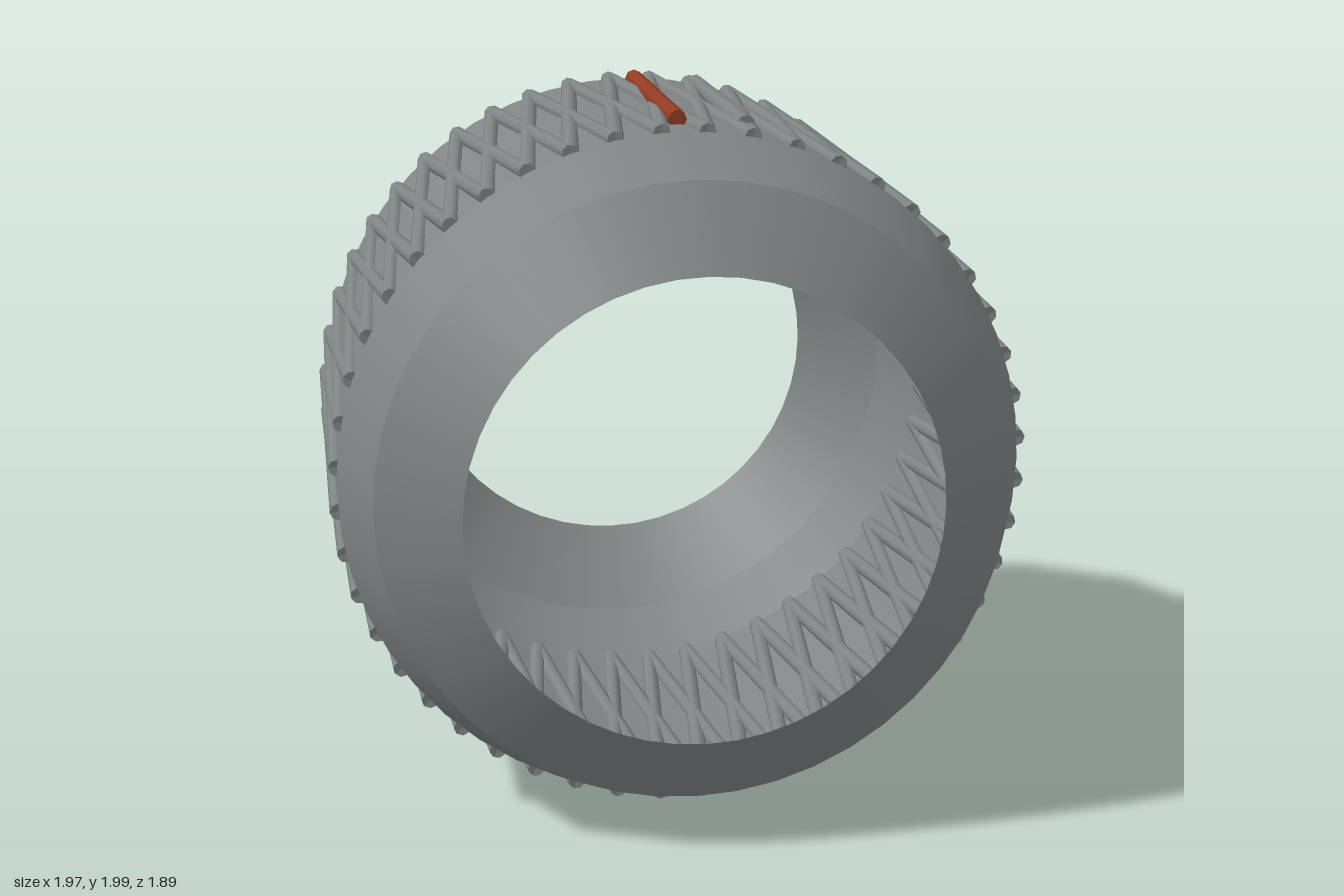
import * as THREE from 'three';

export function createModel() {
  const model = new THREE.Group();
  const grey = new THREE.MeshStandardMaterial({ color: 0x7f8585, side: THREE.DoubleSide });
  grey.name = 'steel grey';
  const red = new THREE.MeshStandardMaterial({ color: 0x963c24 });
  red.name = 'marker red';

  const ring = new THREE.Group();
  ring.name = 'ring';
  ring.position.y = 0.995;
  model.add(ring);

  // Thin open shell, one band per profile segment so its edges stay sharp: [radius, z]
  const profile = [[0.65, -0.95], [0.875, -0.73], [0.965, -0.5], [0.965, 0.555], [0.875, 0.79], [0.65, 0.945]];
  const names = ['backLip', 'backShoulder', 'gripBand', 'frontShoulder', 'frontLip'];
  names.forEach((name, i) => {
    const points = [profile[i], profile[i + 1]].map(([r, z]) => new THREE.Vector2(r, z));
    const band = new THREE.Mesh(new THREE.LatheGeometry(points, 48).rotateX(Math.PI / 2), grey);
    band.name = name;
    ring.add(band);
  });

  // A straight rod between two angles (measured from the top) on the shell
  function addRod(name, material, radius, thick, a0, a1, z0, z1) {
    const start = new THREE.Vector3(Math.sin(a0) * radius, Math.cos(a0) * radius, z0);
    const end = new THREE.Vector3(Math.sin(a1) * radius, Math.cos(a1) * radius, z1);
    const length = start.distanceTo(end);
    const geometry = new THREE.CylinderGeometry(thick, thick, length, 8).rotateX(Math.PI / 2);
    const rod = new THREE.Mesh(geometry, material);
    rod.name = name;
    rod.position.addVectors(start, end).multiplyScalar(0.5);
    rod.up.copy(rod.position).setZ(0).normalize();
    const direction = end.sub(start).normalize();
    const side = new THREE.Vector3().crossVectors(rod.up, direction).normalize();
    const out = new THREE.Vector3().crossVectors(direction, side);
    rod.quaternion.setFromRotationMatrix(new THREE.Matrix4().makeBasis(side, out, direction));
    ring.add(rod);
  }

  // Knurling: crossed pairs of rods all round the band
  const count = 48, step = Math.PI * 2 / count;
  for (let i = 0; i < count; i++) {
    for (const tilt of [-0.5, 0.5]) {
      addRod('knurlRod', grey, 0.964, 0.024, (i - tilt) * step, (i + tilt) * step, -0.5, 0.555);
    }
  }

  // Raised index marks
  addRod('redMarker', red, 0.979, 0.026, 0, 0, -0.39, 0.435);
  addRod('plainMarker', grey, 0.979, 0.026, 1.5 * step, 1.5 * step, -0.39, 0.435);

  return model;
}
